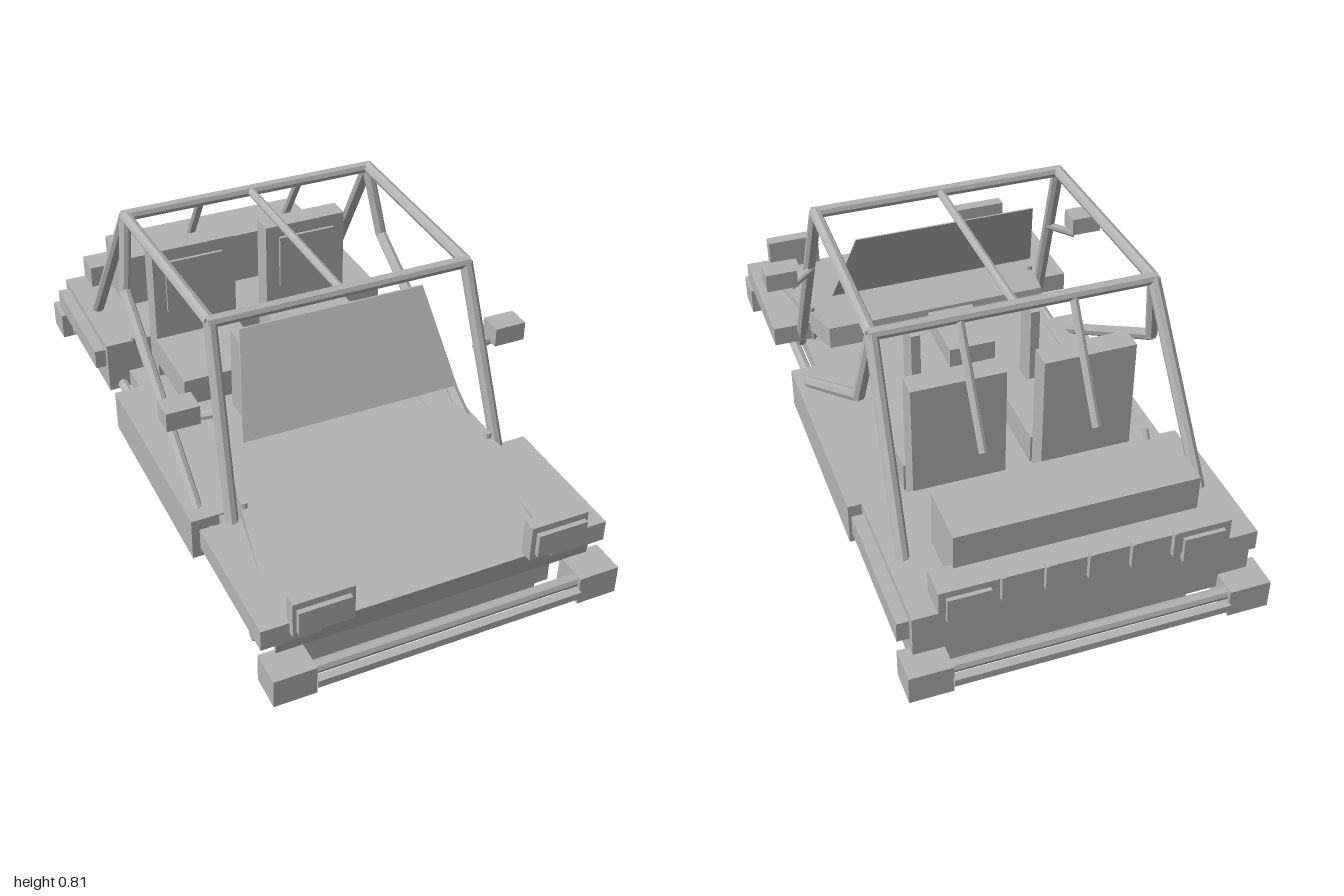
import * as THREE from 'three';

export function createModel() {
  const model = new THREE.Group();
  const paint = new THREE.MeshStandardMaterial({ color: 0xb4b4b4, flatShading: true });
  paint.name = 'plain grey';

  const add = (name, geometry) => {
    const mesh = new THREE.Mesh(geometry, paint);
    mesh.name = name;
    model.add(mesh);
    return mesh;
  };
  // Box given by its lower and upper limits on each axis
  const box = (name, [x0, x1], [y0, y1], [z0, z1]) =>
    add(name, new THREE.BoxGeometry(x1 - x0, y1 - y0, z1 - z0))
      .position.set((x0 + x1) / 2, (y0 + y1) / 2, (z0 + z1) / 2);
  const boxPair = (name, [x0, x1], y, z) => {
    box(name + 'Left', [x0, x1], y, z);
    box(name + 'Right', [-x1, -x0], y, z);
  };
  // Straight round bar between two points
  const bar = (name, a, b, r = 0.018) => {
    const p = new THREE.Vector3(...a), q = new THREE.Vector3(...b);
    const mesh = add(name, new THREE.CylinderGeometry(r, r, p.distanceTo(q), 8));
    mesh.position.copy(p).lerp(q, 0.5);
    mesh.quaternion.setFromUnitVectors(new THREE.Vector3(0, 1, 0), q.sub(p).normalize());
  };
  const barPair = (name, a, b, r) => {
    bar(name + 'Left', a, b, r);
    bar(name + 'Right', [-a[0], a[1], a[2]], [-b[0], b[1], b[2]], r);
  };
  // Tapered slab: each end gives half width, bottom, top; z may lean with height
  const slab = (name, front, rear) => {
    const geometry = new THREE.BoxGeometry(2, 1, 1);
    const p = geometry.attributes.position;
    for (let i = 0; i < p.count; i++) {
      const end = p.getZ(i) > 0 ? front : rear;
      const [y, z] = p.getY(i) > 0 ? end.top : end.bottom;
      p.setXYZ(i, p.getX(i) * end.w, y, z);
    }
    geometry.computeVertexNormals();
    add(name, geometry);
  };

  // Underbody and sills
  box('lowerPan', [-0.36, 0.36], [0, 0.057], [-0.82, 0.832]);
  box('chassis', [-0.385, 0.385], [0.057, 0.12], [-0.842, 0.855]);
  box('floor', [-0.41, 0.41], [0.12, 0.18], [-0.85, 0.86]);
  boxPair('sill', [0.385, 0.495], [0.05, 0.185], [-0.34, 0.355]);
  barPair('sideRail', [0.435, 0.135, -0.9], [0.435, 0.135, 0.9], 0.017);

  // Bumpers
  for (const [end, s] of [['front', 1], ['rear', -1]]) {
    const z = (a, b) => (s > 0 ? [a, b] : [-b, -a]);
    boxPair(end + 'BumperCorner', [0.393, 0.515], [0.078, 0.166], z(0.887, 0.99));
    bar(end + 'BumperBar', [-0.41, 0.145, s * 0.965], [0.41, 0.145, s * 0.965]);
    box(end + 'BumperStrip', [-0.395, 0.395], [0.105, 0.127], z(0.975, 1));
  }

  // Hood, front fenders and headlights
  slab('hood',
    { w: 0.47, bottom: [0.165, 0.9], top: [0.235, 0.91] },
    { w: 0.365, bottom: [0.265, 0.325], top: [0.337, 0.33] });
  boxPair('frontFender', [0.345, 0.515], [0.203, 0.267], [0.485, 0.91]);
  boxPair('headlight', [0.26, 0.435], [0.235, 0.345], [0.89, 0.93]);
  boxPair('headlightLens', [0.275, 0.425], [0.252, 0.325], [0.93, 0.945]);

  // Rear body, cargo box and rear lights
  box('rearBody', [-0.48, 0.48], [0.12, 0.292], [-0.915, -0.45]);
  boxPair('rearFender', [0.48, 0.515], [0.205, 0.268], [-0.893, -0.47]);
  box('cargoBox', [-0.345, 0.345], [0.292, 0.47], [-0.845, -0.665]);
  box('rearPanel', [-0.41, 0.41], [0.292, 0.365], [-0.92, -0.83]);
  boxPair('rearLight', [0.27, 0.39], [0.265, 0.345], [-0.932, -0.89]);
  for (let i = -2; i <= 2; i++)
    box('rearRib' + (i + 3), [i * 0.12 - 0.005, i * 0.12 + 0.005], [0.3, 0.38], [-0.936, -0.92]);

  // Seats
  boxPair('seatCushion', [0.05, 0.335], [0.235, 0.325], [-0.377, -0.115]);
  boxPair('seatBack', [0.055, 0.33], [0.18, 0.64], [-0.452, -0.38]);
  boxPair('seatPad', [0.1, 0.29], [0.42, 0.6], [-0.38, -0.37]);

  // Centre box and upright slats in the cabin
  box('centreBox', [-0.073, 0.073], [0.355, 0.418], [-0.015, 0.2]);
  boxPair('cabinSlat', [0.176, 0.205], [0.25, 0.52], [-0.048, 0.035]);

  // Windshield: thin sloping plate
  const shield = new THREE.BoxGeometry(2, 1, 0.006);
  const sp = shield.attributes.position;
  for (let i = 0; i < sp.count; i++) {
    const up = sp.getY(i) > 0;
    sp.setXYZ(i, sp.getX(i) * (up ? 0.285 : 0.338), up ? 0.71 : 0.433,
      sp.getZ(i) + (up ? 0.233 : 0.373));
  }
  shield.computeVertexNormals();
  add('windshield', shield);

  // Roll cage
  const frontTop = [0.39, 0.793, 0.29], rearTop = [0.407, 0.793, -0.37], elbow = [0.44, 0.565, -0.325];
  barPair('cageFrontLeg', frontTop, [0.425, 0.18, 0.515], 0.019);
  barPair('cageRoofRail', frontTop, rearTop);
  barPair('cageRearLeg', rearTop, [0.435, 0.28, -0.695], 0.019);
  barPair('cageUpright', rearTop, elbow);
  barPair('cageDiagonal', elbow, [0.455, 0.17, 0.3]);
  barPair('cageRearStay', [0.165, 0.793, -0.37], [0.165, 0.48, -0.57], 0.013);
  bar('cageFrontCross', [-0.4, 0.793, 0.29], [0.4, 0.793, 0.29]);
  bar('cageRearCross', [-0.417, 0.793, -0.37], [0.417, 0.793, -0.37]);
  bar('cageRoofCentre', [0, 0.793, -0.37], [0, 0.793, 0.29], 0.013);

  // Mirrors
  boxPair('mirror', [0.458, 0.555], [0.536, 0.594], [0.303, 0.375]);
  barPair('mirrorArm', [0.475, 0.527, 0.325], [0.395, 0.55, 0.37], 0.012);

  // Small pegs
  for (const [end, z] of [['front', 0.81], ['rear', -0.79]])
    barPair(end + 'SidePeg', [0.42, 0.16, z], [0.5, 0.16, z], 0.016);
  barPair('frontTopPeg', [0.385, 0.2, 0.49], [0.385, 0.325, 0.49], 0.01);
  barPair('rearTopPeg', [0.385, 0.28, -0.46], [0.385, 0.315, -0.44], 0.012);

  return model;
}
